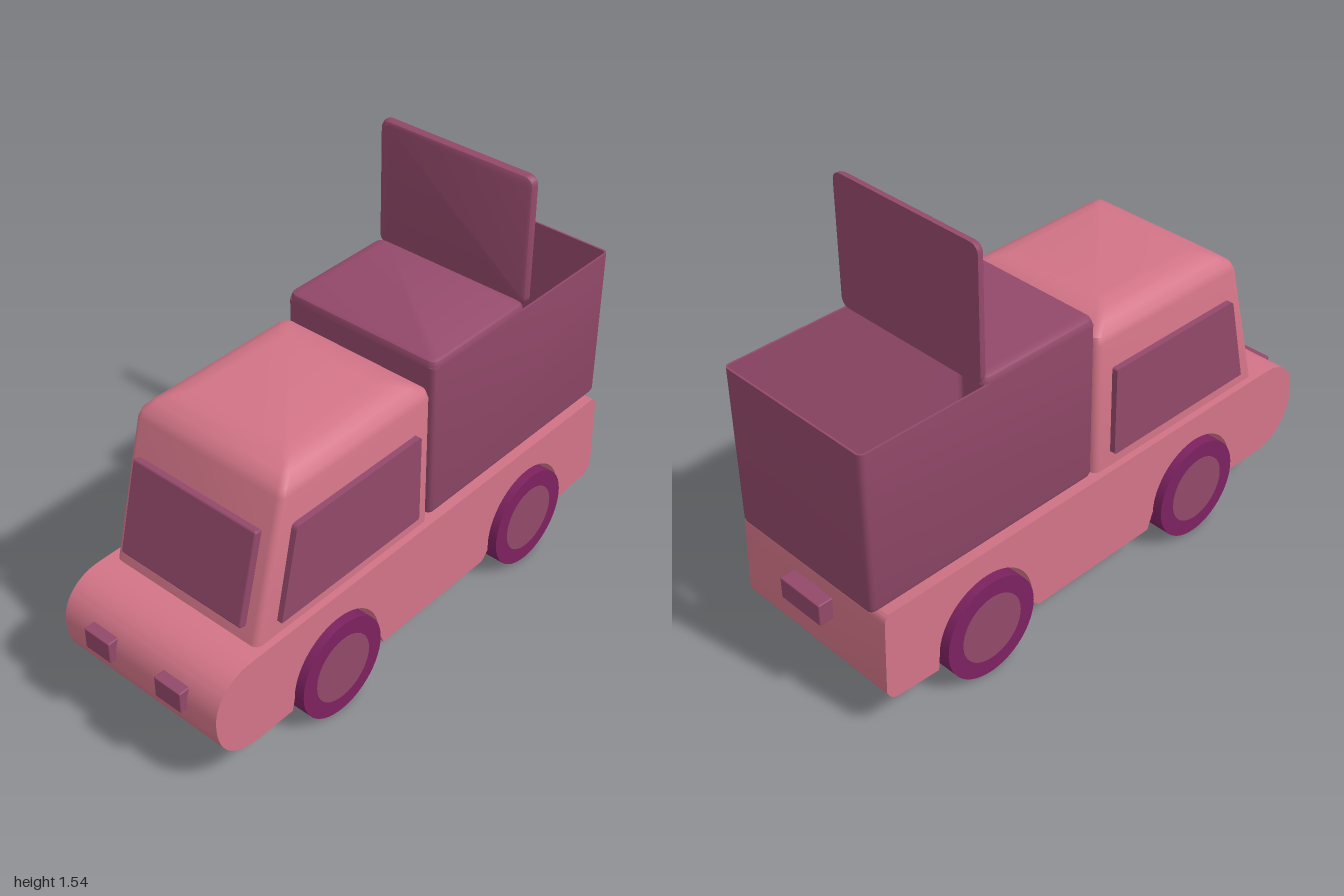
import * as THREE from 'three';
import { toCreasedNormals } from 'three/addons/utils/BufferGeometryUtils.js';
import { RoundedBoxGeometry } from 'three/addons/geometries/RoundedBoxGeometry.js';

const mat = (name, color) => Object.assign(new THREE.MeshStandardMaterial({ color }), { name });

// Rounded rectangle ring at height y, counter-clockwise seen from above
function ring(y, x0, x1, hz, r) {
  const pts = [], steps = 4;
  const corners = [[x1 - r, -hz + r], [x0 + r, -hz + r], [x0 + r, hz - r], [x1 - r, hz - r]];
  corners.forEach(([cx, cz], k) => {
    for (let i = 0; i <= steps; i++) {
      const a = (k + i / steps) * Math.PI / 2;
      pts.push([cx + r * Math.cos(a), y, cz - r * Math.sin(a)]);
    }
  });
  return pts;
}

// Skin a stack of rings, with an optional flat top
function loft(levels, cap) {
  const rings = levels.map(l => ring(...l)), n = rings[0].length, pos = [], idx = [];
  rings.forEach(r => r.forEach(p => pos.push(...p)));
  for (let i = 0; i < rings.length - 1; i++) {
    for (let j = 0; j < n; j++) {
      const a = i * n + j, b = i * n + (j + 1) % n;
      idx.push(a, b, b + n, a, b + n, a + n);
    }
  }
  if (cap) {
    const top = (rings.length - 1) * n;
    for (let j = 1; j < n - 1; j++) idx.push(top, top + j, top + j + 1);
  }
  const g = new THREE.BufferGeometry();
  g.setAttribute('position', new THREE.Float32BufferAttribute(pos, 3));
  g.setIndex(idx);
  return toCreasedNormals(g, 0.6);
}

export function createModel() {
  const truck = new THREE.Group();
  truck.name = 'truck';
  const pink = mat('pink paint', 0xd27487);
  const plum = mat('plum panels', 0x93496a);
  const tyre = mat('purple tyre', 0x7d2260);

  const add = (name, geo, material, x = 0, y = 0, z = 0) => {
    const m = new THREE.Mesh(geo, material);
    m.name = name;
    m.position.set(x, y, z);
    truck.add(m);
    return m;
  };

  // Lower body: side profile with wheel arches, extruded across the width
  const body = new THREE.Shape();
  body.moveTo(0.925, 0.48);
  body.lineTo(-0.82, 0.48);
  body.bezierCurveTo(-0.91, 0.48, -0.975, 0.42, -0.975, 0.33);
  body.bezierCurveTo(-0.975, 0.22, -0.92, 0.14, -0.79, 0.14);
  body.lineTo(-0.65, 0.14);
  body.absarc(-0.44, 0.185, 0.2, Math.PI, 0, true);
  body.lineTo(-0.215, 0.12);
  body.lineTo(0.31, 0.12);
  body.lineTo(0.34, 0.15);
  body.absarc(0.54, 0.185, 0.2, Math.PI, 0, true);
  body.lineTo(0.745, 0.13);
  body.lineTo(0.91, 0.14);
  body.quadraticCurveTo(0.94, 0.145, 0.953, 0.18);
  body.lineTo(0.945, 0.44);
  body.quadraticCurveTo(0.945, 0.47, 0.925, 0.48);
  const bodyGeo = new THREE.ExtrudeGeometry(body, { depth: 0.67, bevelEnabled: false, curveSegments: 20 });
  add('lowerBody', toCreasedNormals(bodyGeo, 0.6), pink, 0, 0, -0.335);

  // Cab with sloped front and softened roof
  add('cab', loft([
    [0.48, -0.77, 0.03, 0.31, 0.025],
    [0.97, -0.64, 0.03, 0.308, 0.025],
    [0.995, -0.628, 0.025, 0.3, 0.025],
    [1.022, -0.595, -0.01, 0.275, 0.025],
    [1.04, -0.55, -0.055, 0.24, 0.02],
    [1.048, -0.51, -0.095, 0.2, 0.02],
  ], true), pink);

  // Side windows and windshield
  const pane = new THREE.Shape();
  pane.moveTo(-0.68, 0.535);
  pane.lineTo(-0.05, 0.535);
  pane.quadraticCurveTo(-0.04, 0.535, -0.04, 0.545);
  pane.lineTo(-0.04, 0.855);
  pane.quadraticCurveTo(-0.04, 0.865, -0.05, 0.865);
  pane.lineTo(-0.59, 0.865);
  pane.quadraticCurveTo(-0.603, 0.865, -0.607, 0.85);
  pane.closePath();
  const paneGeo = new THREE.ExtrudeGeometry(pane, { depth: 0.03, bevelEnabled: false });
  add('leftWindow', paneGeo, plum, 0, 0, 0.3);
  add('rightWindow', paneGeo, plum, 0, 0, -0.33);
  const shield = add('windshield', new RoundedBoxGeometry(0.03, 0.335, 0.52, 2, 0.008), plum, -0.731, 0.702, 0);
  shield.rotation.z = -0.254;

  // Open cargo box: outer wall up, rim, inner wall down
  add('cargoBox', loft([
    [0.48, 0.055, 0.955, 0.292, 0.015],
    [0.487, 0.044, 0.966, 0.303, 0.018],
    [0.5, 0.04, 0.97, 0.308, 0.02],
    [1.063, 0.04, 0.97, 0.308, 0.02],
    [1.063, 0.047, 0.963, 0.301, 0.015],
    [0.481, 0.047, 0.963, 0.301, 0.015],
  ], false), plum);

  // Matching lids: the front one shut, the rear one standing open
  const lidGeo = loft([
    [0, -0.2325, 0.2325, 0.308, 0.03],
    [0.012, -0.2325, 0.2325, 0.308, 0.03],
    [0.024, -0.228, 0.228, 0.303, 0.028],
    [0.03, -0.218, 0.218, 0.293, 0.025],
  ], true);
  const lidUnder = loft([
    [-0.001, -0.2325, 0.2325, 0.308, 0.03],
    [0, -0.2325, 0.2325, 0.308, 0.03],
  ], true).rotateX(Math.PI);
  [['closedLid', 0.2725, 1.06, 0], ['openLid', 0.52, 1.305, Math.PI / 2]].forEach(([name, x, y, turn]) => {
    add(name, lidGeo, plum, x, y).rotation.z = turn;
    add(name + 'Underside', lidUnder, plum, x, y).rotation.z = turn;
  });

  // Headlights and rear plate
  for (const s of [1, -1]) {
    add('headlight', new RoundedBoxGeometry(0.06, 0.08, 0.112, 2, 0.004), plum, -0.97, 0.36, s * 0.156);
  }
  add('rearPlate', new RoundedBoxGeometry(0.06, 0.08, 0.186, 2, 0.004), plum, 0.97, 0.36, 0);

  // Wheels with outer hub discs
  const wheelGeo = new THREE.CylinderGeometry(0.184, 0.184, 0.108, 48).rotateX(Math.PI / 2);
  const hubGeo = new THREE.CylinderGeometry(0.124, 0.124, 0.006, 40).rotateX(Math.PI / 2);
  for (const x of [-0.44, 0.54]) {
    for (const s of [1, -1]) {
      add('wheel', wheelGeo, tyre, x, 0.186, s * 0.304);
      add('hub', hubGeo, plum, x, 0.186, s * 0.357);
    }
  }
  return truck;
}
